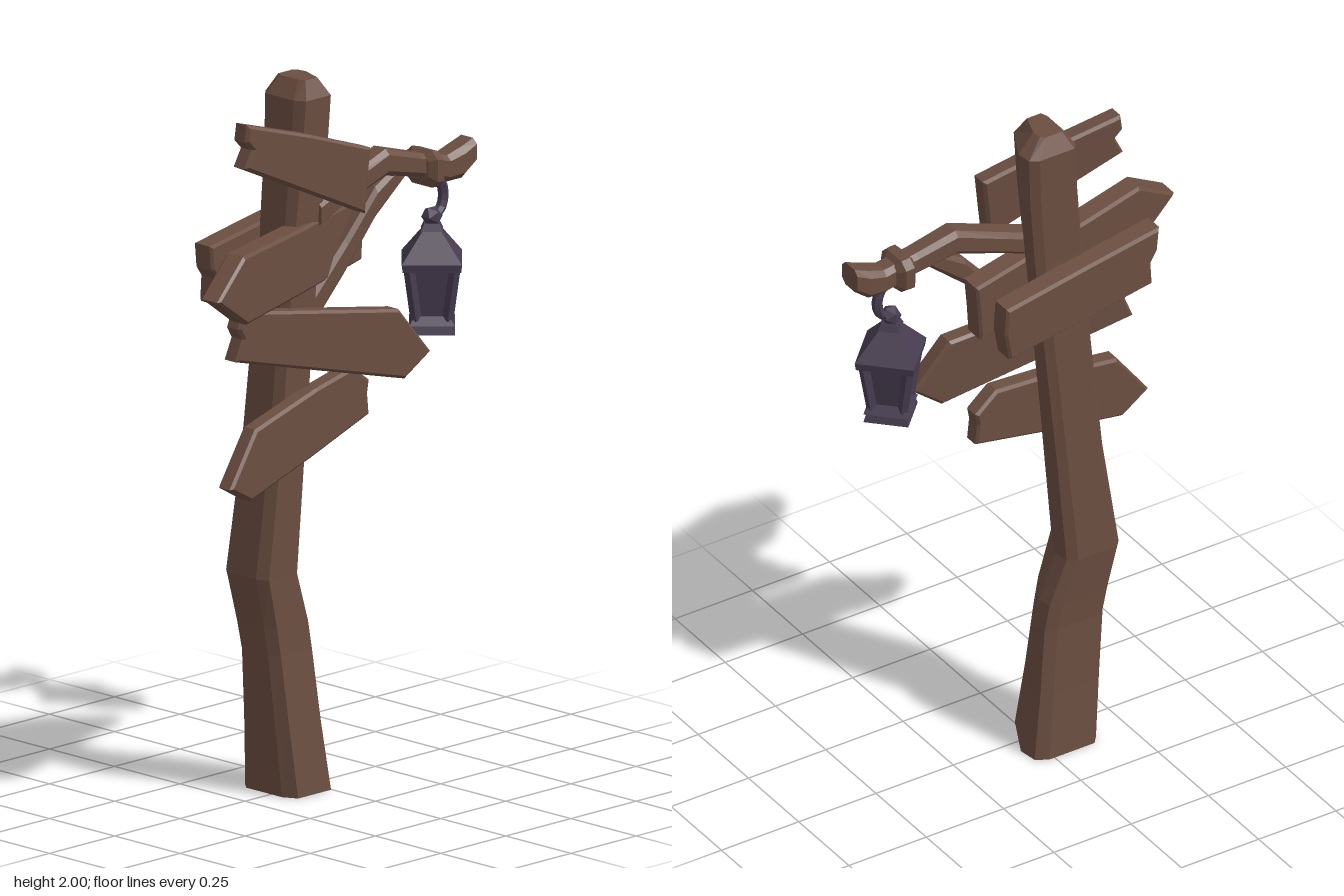
import * as THREE from 'three';

const wood = new THREE.MeshStandardMaterial({ color: 0x6b4e41, flatShading: true });
wood.name = 'brown wood';
const iron = new THREE.MeshStandardMaterial({ color: 0x473c50, flatShading: true });
iron.name = 'dark iron';

function addMesh(parent, name, geometry, material) {
  const mesh = new THREE.Mesh(geometry, material);
  mesh.name = name;
  parent.add(mesh);
  return mesh;
}

// Closed skin over a list of equal-length rings of [x, y, z] points
function loft(rings) {
  const n = rings[0].length, last = (rings.length - 1) * n, index = [];
  for (let i = 0; i < rings.length - 1; i++) {
    for (let j = 0; j < n; j++) {
      const a = i * n + j, b = i * n + (j + 1) % n;
      index.push(a, b, b + n, a, b + n, a + n);
    }
  }
  for (let j = 1; j < n - 1; j++) {
    index.push(0, j + 1, j, last, last + j, last + j + 1);
  }
  const g = new THREE.BufferGeometry();
  g.setAttribute('position', new THREE.Float32BufferAttribute(rings.flat(2), 3));
  g.setIndex(index);
  g.computeVertexNormals();
  return g;
}

// Chamfered beam running towards +x; stations are [x, y, z, halfHeight, halfDepth]
const beamSection = [[1, -.6], [1, .6], [.6, 1], [-.6, 1], [-1, .6], [-1, -.6], [-.6, -1], [.6, -1]];
const beam = stations => loft(stations.map(([x, y, z, h, d]) =>
  beamSection.map(([u, v]) => [x, y + v * h, z - u * d])));

// Plank cut from an xy outline, turned so its middle runs from z0 at x0 to z1 at x1
function plank(outline, thick, [x0, z0, x1, z1]) {
  const bevel = 0.008;
  const g = new THREE.ExtrudeGeometry(new THREE.Shape(outline.map(p => new THREE.Vector2(...p))), {
    depth: thick - 2 * bevel, bevelEnabled: true, bevelSegments: 1,
    bevelThickness: bevel, bevelSize: bevel, bevelOffset: -bevel,
  });
  const p = g.attributes.position;
  for (let i = 0; i < p.count; i++) {
    const t = (p.getX(i) - x0) / (x1 - x0);
    p.setZ(i, p.getZ(i) - thick / 2 + bevel + z0 + t * (z1 - z0));
  }
  g.computeVertexNormals();
  return g;
}

function buildLantern() {
  const lantern = new THREE.Group();
  lantern.name = 'lantern';
  lantern.position.set(0.427, 0, 0.04);

  // Four-sided frustum with its corners on the x and z axes
  const frustum = (name, rTop, rBottom, yTop, yBottom) => {
    const m = addMesh(lantern, name, new THREE.CylinderGeometry(rTop, rBottom, yTop - yBottom, 4), iron);
    m.position.y = (yTop + yBottom) / 2;
  };
  frustum('lanternFoot', 0.078, 0.088, 1.228, 1.203);
  frustum('lanternBase', 0.066, 0.088, 1.252, 1.228);
  frustum('lanternPanes', 0.083, 0.058, 1.38, 1.25);
  frustum('lanternEave', 0.116, 0.112, 1.405, 1.383);
  frustum('lanternRoof', 0.034, 0.116, 1.488, 1.405);
  frustum('lanternCap', 0.03, 0.042, 1.505, 1.485);

  // Leaning corner bars
  for (let i = 0; i < 4; i++) {
    const pivot = new THREE.Group();
    pivot.name = 'lanternCorner';
    pivot.rotation.y = i * Math.PI / 2;
    const bar = addMesh(pivot, 'lanternBar', new THREE.BoxGeometry(0.022, 0.15, 0.022), iron);
    bar.position.set(0.074, 1.315, 0);
    bar.rotation.set(0, 0, -0.18);
    lantern.add(pivot);
  }

  // Knob and hanging hook
  const knob = addMesh(lantern, 'lanternKnob', new THREE.IcosahedronGeometry(0.03, 0), iron);
  knob.position.set(0, 1.522, 0);
  const curve = new THREE.CatmullRomCurve3([[0.005, 1.52], [0.032, 1.537], [0.044, 1.575], [0.036, 1.608], [0.01, 1.645]]
    .map(([x, y]) => new THREE.Vector3(x, y, 0)));
  addMesh(lantern, 'hook', new THREE.TubeGeometry(curve, 8, 0.015, 6), iron);
  return lantern;
}

export function createModel() {
  const model = new THREE.Group();
  model.name = 'signpost';

  // Crooked post: [y, left, right, back, front]
  const postSection = [[-1, .6], [-.8, 1], [.4, 1], [1, -.25], [.92, -.8], [.6, -1], [-.8, -1], [-1, -.75]];
  const post = [
    [0, -.15, .06, -.12, .083], [.2, -.165, .035, -.108, .065], [.4, -.18, .018, -.1, .048],
    [.48, -.193, .005, -.106, .046], [.62, -.22, -.042, -.12, .045], [.95, -.175, -.02, -.105, .045],
    [1.3, -.145, .01, -.092, .048], [1.6, -.122, .038, -.085, .052], [1.8, -.108, .052, -.084, .062],
    [1.95, -.102, .057, -.086, .07], [2, -.07, .005, -.06, .045],
  ];
  addMesh(model, 'post', loft(post.map(([y, l, r, b, f]) => postSection.map(([u, v]) =>
    [(l + r) / 2 + u * (r - l) / 2, y, (b + f) / 2 + v * (f - b) / 2]))), wood);

  // Sign boards, outlines counter-clockwise
  addMesh(model, 'topBoard', plank(
    [[-.308, 1.80], [.075, 1.617], [.083, 1.70], [.092, 1.80], [-.1, 1.865], [-.3, 1.922], [-.306, 1.875], [-.285, 1.85]],
    0.055, [-.305, .035, .09, .118]), wood);
  addMesh(model, 'leftArrowBoard', plank(
    [[-.555, 1.50], [-.4, 1.40], [-.1, 1.412], [.215, 1.43], [.222, 1.52], [.232, 1.608], [-.1, 1.598], [-.415, 1.595]],
    0.072, [-.55, .168, .235, -.055]), wood);
  addMesh(model, 'backBoard', plank(
    [[-.34, 1.41], [.205, 1.435], [.222, 1.52], [.215, 1.603], [-.1, 1.592], [-.368, 1.58], [-.36, 1.51], [-.335, 1.48]],
    0.07, [-.34, -.052, .18, -.175]), wood);
  addMesh(model, 'rightArrowBoard', plank(
    [[-.333, 1.26], [-.05, 1.19], [.225, 1.123], [.31, 1.187], [.205, 1.322], [-.05, 1.36], [-.308, 1.398], [-.325, 1.35], [-.31, 1.32]],
    0.055, [-.33, .025, .31, .13]), wood);
  addMesh(model, 'lowerArrowBoard', plank(
    [[-.435, .935], [-.345, .885], [-.08, .95], [.172, 1.018], [.165, 1.08], [.172, 1.115], [.1, 1.165], [-.06, 1.14], [-.325, 1.082]],
    0.055, [-.43, .105, .17, .032]), wood);

  // Lantern arm with collar and brace
  addMesh(model, 'arm', beam([
    [-.02, 1.615, .022, .036, .042], [.08, 1.655, .022, .034, .04], [.24, 1.712, .027, .038, .037],
    [.36, 1.682, .036, .033, .034], [.46, 1.655, .044, .037, .036], [.51, 1.664, .047, .044, .04],
    [.552, 1.688, .05, .036, .038],
  ]), wood);
  addMesh(model, 'armCollar', beam([
    [.375, 1.67, .037, .035, .042], [.39, 1.668, .038, .052, .062], [.415, 1.664, .04, .05, .06], [.43, 1.66, .042, .035, .042],
  ]), wood);
  addMesh(model, 'brace', beam([
    [-.03, 1.335, .01, .05, .028], [.1, 1.475, .018, .046, .026], [.21, 1.605, .024, .042, .026], [.33, 1.69, .03, .025, .024],
  ]), wood);

  model.add(buildLantern());
  return model;
}
